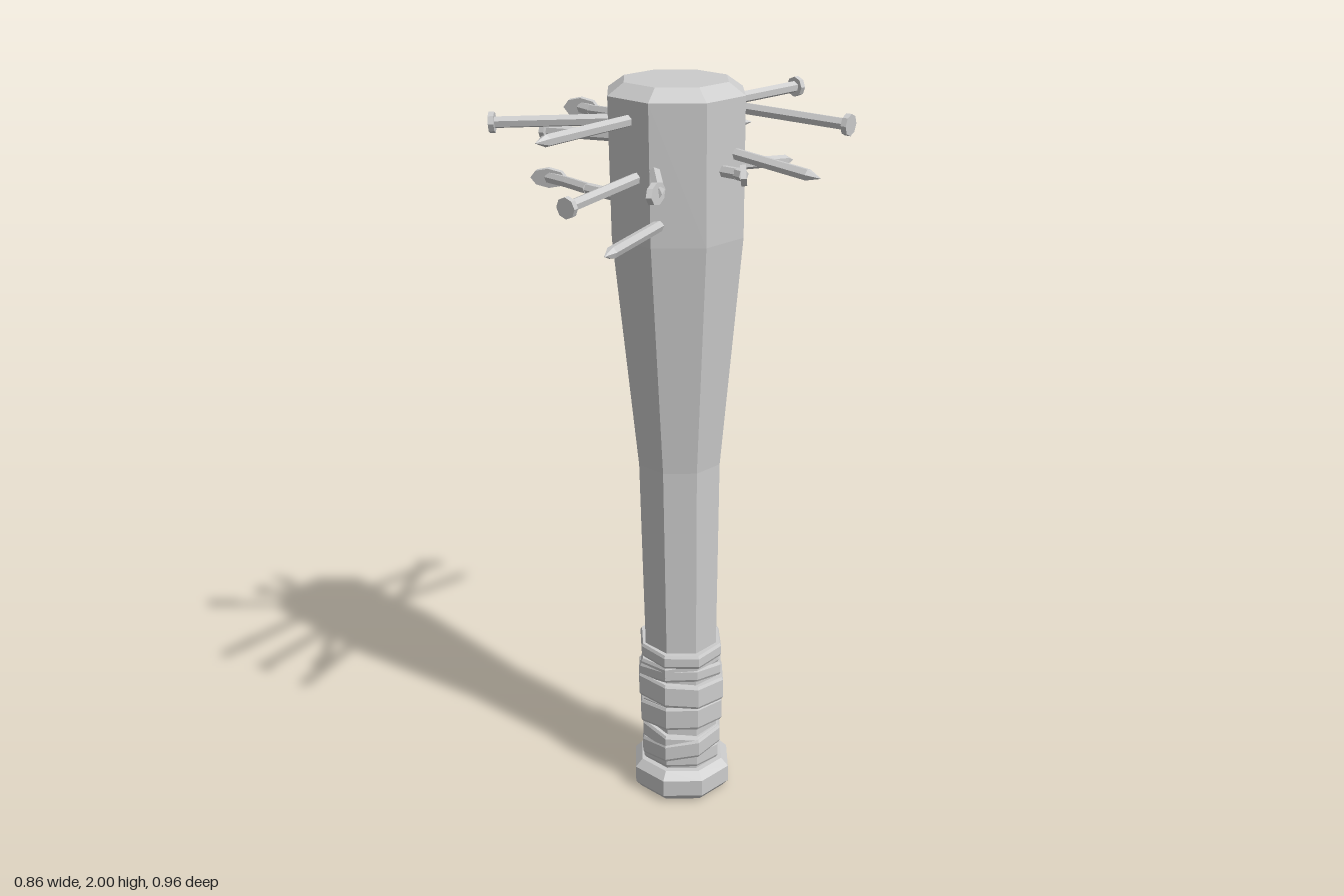
import * as THREE from 'three';
import { mergeGeometries } from 'three/addons/utils/BufferGeometryUtils.js';

const grey = new THREE.MeshStandardMaterial({ color: 0xcccccc, flatShading: true });
const UP = new THREE.Vector3(0, 1, 0);
const V = (p) => new THREE.Vector3(...p);

// The bat's axis leans slightly in z
const axisZ = (y) => -0.037 + 0.0125 * y;

// Eight-sided turned body; the profile holds [half width across flats, y] from bottom to top
function octagon(profile, warp = () => [1, 0]) {
  const pts = profile.map(([w, y]) => new THREE.Vector2(w / Math.cos(Math.PI / 8), y));
  const geo = new THREE.LatheGeometry(pts, 8, Math.PI / 8);
  const pos = geo.attributes.position;
  for (let i = 0; i < pos.count; i++) {
    const x = pos.getX(i), y = pos.getY(i), z = pos.getZ(i);
    const [s, dy] = warp(Math.atan2(x, z));
    pos.setXYZ(i, x * s - 0.007, y + dy, z * s + axisZ(y));
  }
  geo.computeVertexNormals();
  return geo;
}

// Tapered six-sided rod between two points
function rod(a, b, r0, r1) {
  const dir = b.clone().sub(a);
  const geo = new THREE.CylinderGeometry(r1, r0, dir.length(), 6);
  geo.applyQuaternion(new THREE.Quaternion().setFromUnitVectors(UP, dir.normalize()));
  const mid = a.clone().add(b).multiplyScalar(0.5);
  return geo.translate(mid.x, mid.y, mid.z);
}

// Flat nail head facing along n, stretched sideways by width
function headDisc(at, n, width) {
  const side = new THREE.Vector3().crossVectors(UP, n).normalize();
  const up = new THREE.Vector3().crossVectors(side, n).normalize();
  const geo = new THREE.CylinderGeometry(0.026, 0.026, 0.014, 8);
  geo.scale(width, 1, 1);
  const m = new THREE.Matrix4().makeBasis(side, n, up.negate());
  if (m.determinant() < 0) m.makeBasis(side.negate(), n, up);
  return geo.applyMatrix4(m.setPosition(at));
}

// Nail along a path: ends in a point, or in a head that may be bent to one side
function nail({ path, pointed, face, width = 1 }) {
  const p = path.map(V), r = 0.015, parts = [];
  const last = p.length - 1;
  const dir = p[last].clone().sub(p[last - 1]).normalize();
  // Sink the root into the wood
  p[0].addScaledVector(p[1].clone().sub(p[0]).normalize(), -0.05);
  const end = p[last].clone();
  if (pointed) p[last].addScaledVector(dir, -0.035);
  for (let i = 0; i < last; i++) parts.push(rod(p[i], p[i + 1], r, r));
  if (pointed) parts.push(rod(p[last], end, r, 0.001));
  else parts.push(headDisc(end, face ? V(face).normalize() : dir, width));
  return mergeGeometries(parts);
}

const nails = [
  // Back
  { path: [[-0.08, 1.67, -0.17], [-0.245, 1.67, -0.415]] },
  { path: [[-0.015, 1.92, -0.17], [0, 1.925, -0.458]] },
  { path: [[-0.01, 1.76, -0.17], [-0.022, 1.725, -0.48]], pointed: true },
  // Left side
  { path: [[0.14, 1.935, -0.1], [0.42, 1.927, -0.147]] },
  { path: [[0.15, 1.835, -0.05], [0.39, 1.805, -0.088]], pointed: true },
  { path: [[0.15, 1.8, -0.005], [0.2, 1.8, -0.008], [0.224, 1.8, -0.004]], face: [1, 0.1, -0.9], width: 1.4 },
  // Front
  { path: [[0.07, 1.805, 0.14], [0.17, 1.8, 0.23], [0.195, 1.798, 0.265]], face: [0.9, 0.1, -0.43], width: 1.9 },
  { path: [[0.075, 1.675, 0.14], [0.175, 1.675, 0.41]], pointed: true },
  { path: [[0.015, 1.785, 0.15], [0.063, 1.77, 0.418]] },
  { path: [[-0.008, 1.92, 0.15], [0.032, 1.922, 0.48]], pointed: true },
  // Right side
  { path: [[-0.13, 1.9, 0.1], [-0.345, 1.89, 0.288]] },
  { path: [[-0.16, 1.85, 0.055], [-0.342, 1.845, 0.115]] },
  { path: [[-0.16, 1.9, 0.035], [-0.27, 1.893, 0.022], [-0.317, 1.893, 0.013]], face: [-0.45, 0.1, -0.9], width: 1.8 },
  { path: [[-0.11, 1.715, 0.1], [-0.2, 1.718, 0.107], [-0.29, 1.716, 0.09], [-0.385, 1.71, 0.07]],
    face: [-0.49, 0.1, -0.87], width: 1.9 },
  // Short tips that come out of the far side
  { path: [[0.07, 1.885, -0.14], [0.092, 1.885, -0.178]], pointed: true },
  { path: [[-0.14, 1.87, 0.005], [-0.19, 1.87, 0], ], pointed: true },
];

// Grip wrap: [bottom, top, half width, tilt, phase]
const wraps = [
  [0.09, 0.14, 0.104, 0.008, 0.5],
  [0.125, 0.18, 0.111, 0.018, 2.2],
  [0.165, 0.215, 0.108, 0.02, 4.4],
  [0.215, 0.285, 0.110, 0.006, 1.0],
  [0.28, 0.31, 0.103, 0.012, 3.0],
  [0.295, 0.365, 0.114, 0.01, 5.2],
  [0.355, 0.395, 0.110, 0.02, 0.8],
  [0.39, 0.43, 0.107, 0.014, 2.6],
  [0.425, 0.465, 0.112, 0.006, 4.0],
];

export function createModel() {
  const model = new THREE.Group();
  const add = (name, geo, parent = model) => {
    const mesh = new THREE.Mesh(geo, grey);
    mesh.name = name;
    parent.add(mesh);
  };

  // Barrel and handle
  add('bat', octagon([
    [0, 0.06], [0.097, 0.06], [0.097, 0.46], [0.106, 1.0],
    [0.163, 1.62], [0.166, 1.97], [0.126, 2], [0, 2],
  ]));

  // Knob at the foot
  add('knob', octagon([
    [0, 0], [0.115, 0], [0.131, 0.02], [0.131, 0.068], [0.112, 0.09], [0, 0.09],
  ]));

  // Overlapping, uneven bands round the grip
  const grip = new THREE.Group();
  grip.name = 'gripWrap';
  model.add(grip);
  wraps.forEach(([y0, y1, w, tilt, phase], i) => {
    const warp = (a) => [1 + 0.035 * Math.sin(2 * a + phase * 3), tilt * Math.cos(a - phase)];
    add('wrapBand' + (i + 1), octagon([
      [0.085, y0], [w - 0.004, y0], [w, y0 + 0.008], [w, y1 - 0.008], [w - 0.004, y1], [0.085, y1],
    ], warp), grip);
  });

  // Nails driven through the barrel
  const spikes = new THREE.Group();
  spikes.name = 'nails';
  model.add(spikes);
  nails.forEach((n, i) => add('nail' + (i + 1), nail(n), spikes));

  return model;
}
